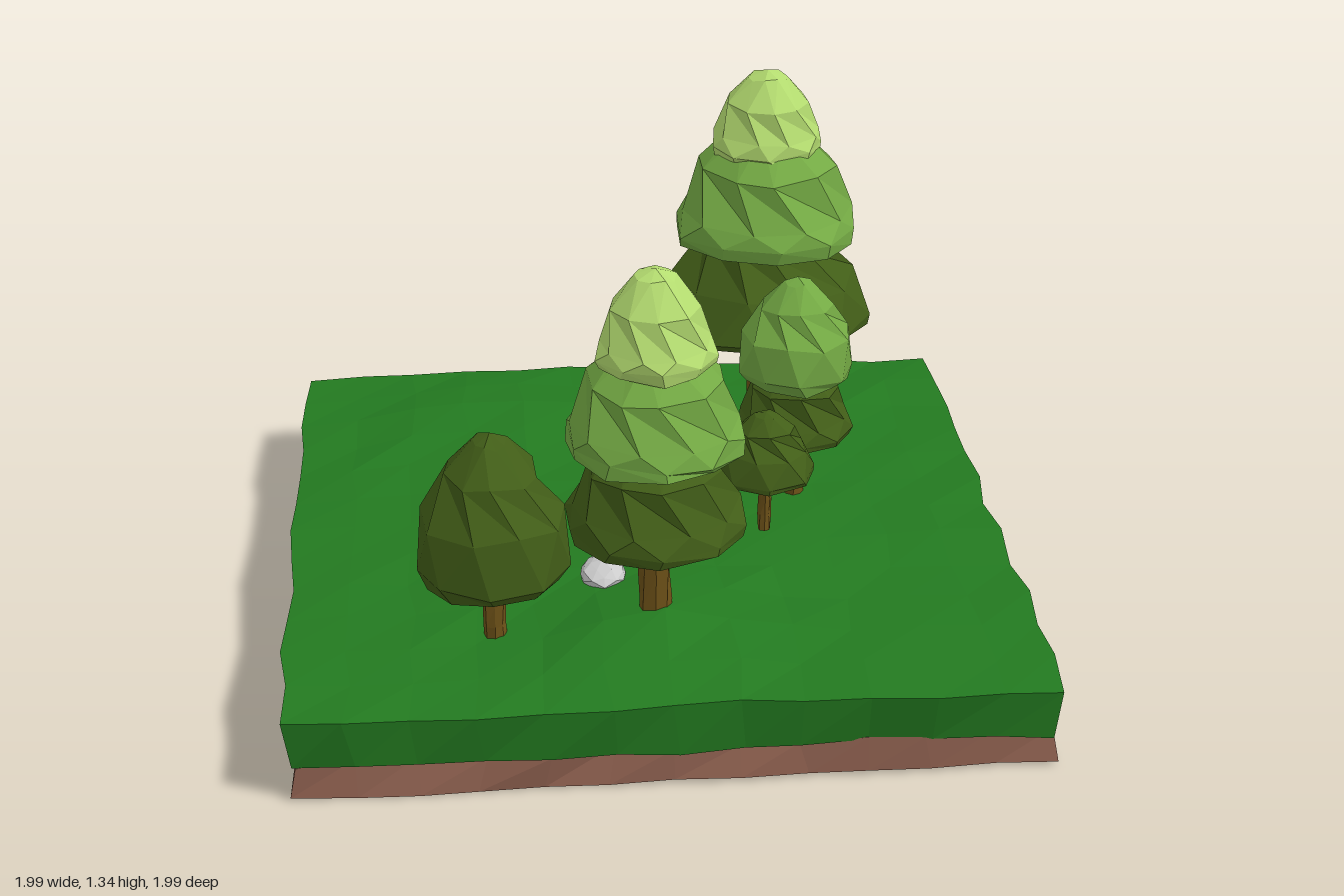
import * as THREE from 'three';

const mat = (color) => new THREE.MeshStandardMaterial({ color, flatShading: true });
const GRASS = mat(0x237a20), SOIL = mat(0x8f6150), BARK = mat(0x6e5218), STONE = mat(0xcccccc);
const DARK = mat(0x425e18), MID = mat(0x74aa44), LIGHT = mat(0xb4dc70);

// repeatable value in -1..1 from any three numbers
function hash(a, b, c) {
  const s = Math.sin(a * 127.1 + b * 311.7 + c * 74.7) * 43758.5453;
  return (s - Math.floor(s)) * 2 - 1;
}

function mesh(name, geometry, material) {
  const m = new THREE.Mesh(geometry, material);
  m.name = name;
  return m;
}

// move every vertex of a geometry by a rule
function reshape(geometry, rule) {
  const p = geometry.attributes.position, v = new THREE.Vector3();
  for (let i = 0; i < p.count; i++) {
    v.fromBufferAttribute(p, i);
    rule(v, i);
    p.setXYZ(i, v.x, v.y, v.z);
  }
  geometry.computeVertexNormals();
  return geometry;
}

// gentle hills: x, z, height, radius
const HILLS = [[-0.42, -0.68, 0.065, 0.33], [-0.02, 0.66, 0.075, 0.25], [-0.15, 0.05, 0.035, 0.45]];
function groundHeight(x, z) {
  let y = 0.242;
  for (const [hx, hz, h, r] of HILLS) y += h * Math.exp(-((x - hx) ** 2 + (z - hz) ** 2) / (r * r));
  const edge = Math.min(1, (1 - Math.max(Math.abs(x), Math.abs(z))) * 4);
  return 0.235 + (y - 0.235) * (0.4 + 0.6 * edge);
}

// rough slab with wavy borders; top(x, z) gives the upper surface
function slab(name, y0, y1, half, top, seed, material) {
  const geo = new THREE.BoxGeometry(2 * half, y1 - y0, 2 * half, 12, 1, 12);
  return mesh(name, reshape(geo, (v) => {
    const { x, z } = v, upper = v.y > 0, k = upper ? 1 : 2;
    const a = Math.round(x * 50), b = Math.round(z * 50);
    const n = hash(a + seed, b, k);
    const spread = upper === (seed === 1) ? 1 : 0.985;
    v.x = x * spread + 0.013 * hash(a, b + seed, k + 5);
    v.z = z * spread + 0.013 * hash(a, b + seed, k + 9);
    v.y = upper ? top(x, z) + 0.008 * n : y0 + 0.006 * n;
  }), material);
}

// crown tier: faceted dome, alternate rings turned by half a side
const DOME = [[0, 0.06], [0.97, 0], [1, 0.07], [0.83, 0.42], [0.56, 0.75], [0.24, 0.95], [0, 1]];
const BELL = [[0, 0.06], [0.97, 0], [1, 0.1], [0.93, 0.25], [0.76, 0.62], [0.35, 0.92], [0, 1]];
const EGG = [[0, 0.02], [0.88, 0], [1, 0.1], [0.94, 0.45], [0.62, 0.73], [0.22, 0.94], [0, 1]];
function tier(name, y0, y1, radius, profile, sides, seed, material) {
  const points = profile.map(([r, y]) => new THREE.Vector2(r * radius, y0 + y * (y1 - y0)));
  const rows = points.length;
  const geo = new THREE.LatheGeometry(points, sides);
  return mesh(name, reshape(geo, (v, i) => {
    const j = i % rows, s = Math.floor(i / rows) % sides;
    if (j === 0 || j === rows - 1) return;
    const turn = (j > 1 && j % 2 ? 0.5 : 0) + 0.12 * hash(s, j, seed);
    const angle = (s + turn) * 2 * Math.PI / sides;
    const r = points[j].x * (1 + 0.035 * hash(j, s, seed + 3));
    v.set(r * Math.sin(angle), v.y + (y1 - y0) * 0.025 * hash(s, seed, j), r * Math.cos(angle));
  }), material);
}

// knobbly trunk with a slightly flared foot
function trunk(y0, y1, radius, seed) {
  const sides = 8;
  const geo = new THREE.CylinderGeometry(radius, radius, y1 - y0, sides, 4);
  return mesh('trunk', reshape(geo.translate(0, (y0 + y1) / 2, 0), (v) => {
    const s = Math.round(Math.atan2(v.x, v.z) * sides / (2 * Math.PI) + sides) % sides;
    const k = 0.97 + 0.13 * hash(s, Math.round(v.y * 100), seed) + 0.08 * (y1 - v.y) / (y1 - y0);
    v.x *= k;
    v.z *= k;
  }), BARK);
}

// trunk is [bottom, top, radius]; tiers are [bottom, top, radius, profile, sides, material]
const TREES = [
  { name: 'tallPine', x: 0.41, z: -0.63, trunk: [0.23, 0.62, 0.046], tiers: [
    [0.575, 0.92, 0.325, DOME, 10, DARK], [0.84, 1.2, 0.273, BELL, 10, MID], [1.1, 1.345, 0.162, BELL, 9, LIGHT]] },
  { name: 'frontPine', x: -0.025, z: 0.605, trunk: [0.24, 0.6, 0.041], tiers: [
    [0.545, 0.84, 0.232, BELL, 10, DARK], [0.78, 1.08, 0.23, BELL, 10, MID], [1.01, 1.26, 0.153, BELL, 9, LIGHT]] },
  { name: 'roundTree', x: -0.44, z: 0.605, trunk: [0.22, 0.46, 0.029], tiers: [
    [0.42, 0.83, 0.197, EGG, 9, DARK]] },
  { name: 'smallPine', x: 0.435, z: -0.115, trunk: [0.22, 0.48, 0.029], tiers: [
    [0.44, 0.68, 0.165, BELL, 9, DARK], [0.615, 0.915, 0.165, EGG, 9, MID]] },
  { name: 'sapling', x: 0.32, z: 0.145, trunk: [0.27, 0.46, 0.017], tiers: [
    [0.445, 0.63, 0.138, DOME, 8, DARK]] },
];

// x, y, z, half sizes
const ROCKS = [
  [-0.03, 0.315, -0.495, 0.088, 0.052, 0.065],
  [0.22, 0.275, -0.31, 0.135, 0.058, 0.1],
  [-0.145, 0.285, 0.385, 0.066, 0.042, 0.078],
];

export function createModel() {
  const model = new THREE.Group();
  model.name = 'forestIsland';

  model.add(slab('soilLayer', 0.012, 0.11, 0.97, () => 0.105, 2, SOIL));
  model.add(slab('grassLayer', 0.098, 0.24, 0.983, groundHeight, 1, GRASS));

  TREES.forEach((t, i) => {
    const tree = new THREE.Group();
    tree.name = t.name;
    tree.position.set(t.x, 0, t.z);
    tree.add(trunk(...t.trunk, i + 1));
    t.tiers.forEach(([y0, y1, r, profile, sides, material], k) =>
      tree.add(tier('crownTier' + (k + 1), y0, y1, r, profile, sides, i * 7 + k, material)));
    model.add(tree);
  });

  ROCKS.forEach(([x, y, z, sx, sy, sz], i) => {
    const geo = reshape(new THREE.IcosahedronGeometry(1, 1), (v) => {
      const q = v.clone().multiplyScalar(20).round();
      v.multiplyScalar(0.96 + 0.1 * hash(q.x + i, q.y, q.z));
    });
    const rock = mesh('rock' + (i + 1), geo, STONE);
    rock.position.set(x, y, z);
    rock.scale.set(sx, sy, sz);
    model.add(rock);
  });

  return model;
}
